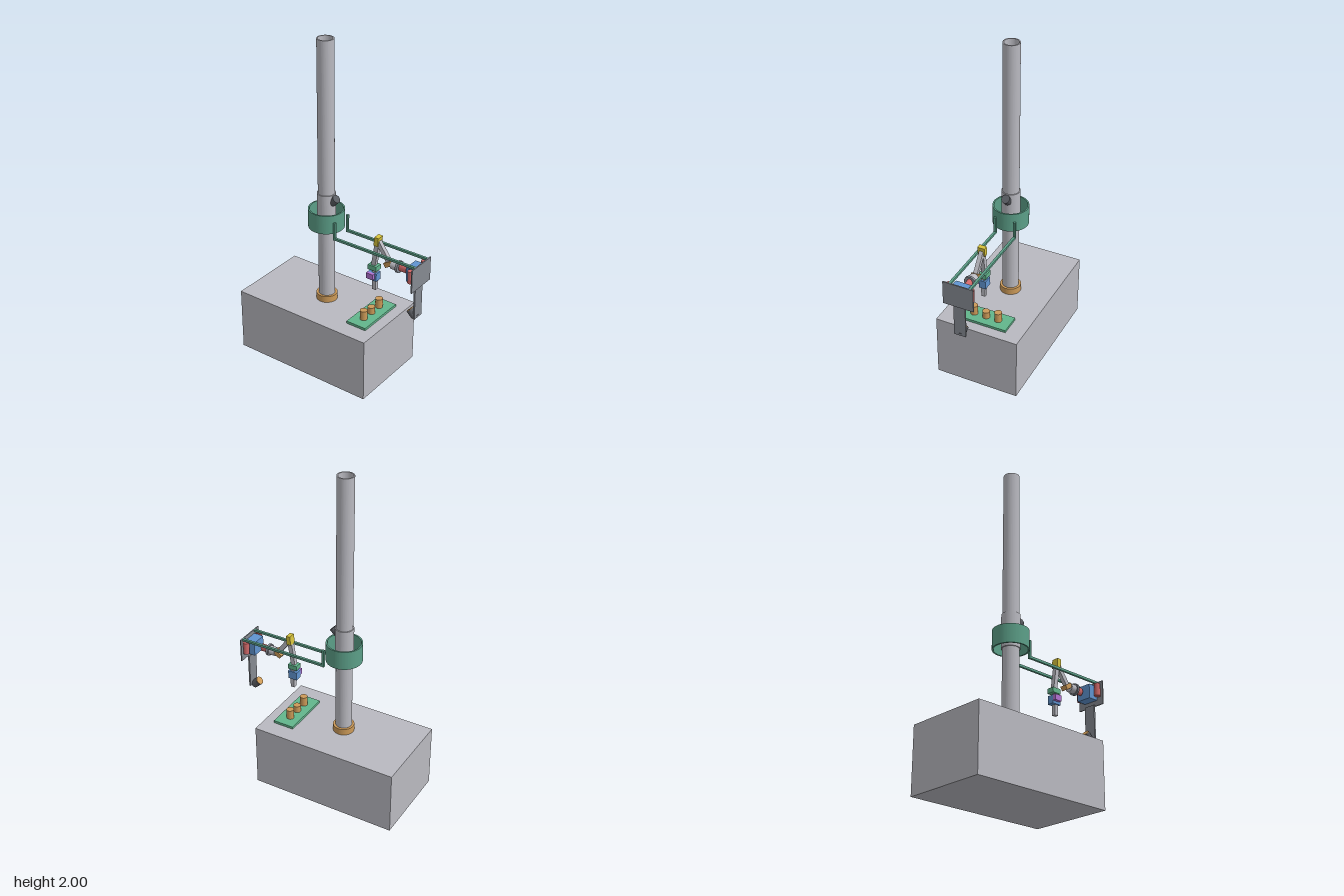
import * as THREE from 'three';

const mat = (name, color) => {
  const m = new THREE.MeshStandardMaterial({ color });
  m.name = name;
  return m;
};

export function createModel() {
  const root = new THREE.Group();
  root.name = 'columnRobot';

  const grey = mat('light grey', 0xb9b9c0);
  const steel = mat('steel grey', 0x858991);
  const charcoal = mat('charcoal', 0x5a5d63);
  const teal = mat('teal', 0x5c9f88);
  const green = mat('green', 0x62b58c);
  const tan = mat('tan', 0xcc9a58);
  const red = mat('red', 0xd06868);
  const blue = mat('blue', 0x6094d0);
  const yellow = mat('yellow', 0xd6c23c);
  const purple = mat('purple', 0xb272d2);

  const add = (name, geo, material, x, y, z, tilt = 0) => {
    const m = new THREE.Mesh(geo, material);
    m.name = name;
    m.position.set(x, y, z);
    m.rotation.z = tilt;
    root.add(m);
    return m;
  };
  // box given by its limits on each axis
  const box = (name, material, x0, x1, y0, y1, z0, z1) =>
    add(name, new THREE.BoxGeometry(x1 - x0, y1 - y0, z1 - z0), material,
      (x0 + x1) / 2, (y0 + y1) / 2, (z0 + z1) / 2);
  // cylinder centred on a point, its axis tilted in the xy plane
  const cyl = (name, material, r, h, x, y, z, tilt = 0) =>
    add(name, new THREE.CylinderGeometry(r, r, h, 32), material, x, y, z, tilt);
  // hollow upright tube with a square-edged wall
  const tube = (name, material, rOut, rIn, y0, y1, x) => {
    const s = new THREE.Shape().absarc(0, 0, rOut, 0, Math.PI * 2);
    s.holes.push(new THREE.Path().absarc(0, 0, rIn, 0, Math.PI * 2, true));
    const g = new THREE.ExtrudeGeometry(s, { depth: y1 - y0, bevelEnabled: false, curveSegments: 40 });
    g.rotateX(-Math.PI / 2);
    return add(name, g, material, x, y0, 0);
  };
  // straight link between two points in the xy plane
  const link = (name, material, ax, ay, bx, by, w, d) =>
    add(name, new THREE.BoxGeometry(w, Math.hypot(bx - ax, by - ay), d), material,
      (ax + bx) / 2, (ay + by) / 2, 0, Math.atan2(ax - bx, by - ay));

  // base block and column
  const cx = -0.1;
  box('base', grey, -0.55, 0.35, 0, 0.39, -0.257, 0.257);
  tube('column', grey, 0.048, 0.041, 0.39, 2, cx);
  tube('columnFlange', tan, 0.062, 0.048, 0.39, 0.43, cx);
  tube('slidingSleeve', grey, 0.054, 0.048, 0.88, 1.088, cx);
  tube('carrierRing', teal, 0.105, 0.096, 0.875, 0.99, cx);
  cyl('clampKnob', charcoal, 0.025, 0.045, -0.045, 1.052, 0, -0.8);

  // twin rails hung from the ring
  for (const z of [-0.07, 0.052]) {
    box('railPost', teal, -0.01, 0.004, 0.835, 0.945, z - 0.007, z + 0.007);
    box('rail', teal, -0.01, 0.54, 0.836, 0.85, z - 0.007, z + 0.007);
  }

  // end plate with motor block and dampers
  box('endPlate', steel, 0.54, 0.547, 0.705, 0.85, -0.093, 0.093);
  box('motorBlock', blue, 0.478, 0.54, 0.738, 0.825, -0.047, 0.047);
  for (const z of [-0.068, 0.068]) cyl('damper', red, 0.018, 0.075, 0.522, 0.792, z);

  // camera on its hanging strip
  box('cameraStrip', steel, 0.525, 0.535, 0.5, 0.71, -0.036, 0.036);
  cyl('cameraBody', charcoal, 0.025, 0.05, 0.502, 0.515, 0, 0.82);
  cyl('cameraLens', tan, 0.023, 0.006, 0.4835, 0.5325, 0, 0.82);

  // shoulder stack lying along x
  cyl('shoulderMotor', red, 0.024, 0.046, 0.432, 0.78, 0, Math.PI / 2).scale.z = 0.7;
  cyl('shoulderDisc', steel, 0.036, 0.014, 0.402, 0.78, 0, Math.PI / 2);
  cyl('shoulderHousing', grey, 0.027, 0.038, 0.376, 0.78, 0, Math.PI / 2);
  add('shoulderJoint', new THREE.BoxGeometry(0.05, 0.028, 0.042), tan, 0.337, 0.778, 0, 0.55);

  // upper arm, elbow and forearm
  link('upperArm', grey, 0.345, 0.775, 0.26, 0.895, 0.027, 0.025);
  add('elbow', new THREE.BoxGeometry(0.027, 0.055, 0.044), yellow, 0.258, 0.897, 0, -0.1);
  link('forearm', grey, 0.257, 0.88, 0.235, 0.735, 0.027, 0.025);

  // wrist and tool
  box('wristPlate', green, 0.206, 0.264, 0.706, 0.736, -0.023, 0.023);
  box('wristNeck', grey, 0.228, 0.254, 0.688, 0.707, -0.013, 0.013);
  box('wristBlock', blue, 0.206, 0.264, 0.64, 0.69, -0.021, 0.021);
  box('wristMotor', purple, 0.206, 0.253, 0.655, 0.69, 0.021, 0.04);
  box('toolTip', grey, 0.23, 0.254, 0.577, 0.64, -0.012, 0.012);

  // work pad with pegs
  box('workPad', green, 0.156, 0.286, 0.39, 0.405, -0.155, 0.155);
  for (const [z, h] of [[-0.077, 0.058], [0, 0.042], [0.077, 0.058]])
    cyl('peg', tan, 0.022, h, 0.22, 0.405 + h / 2, z);

  return root;
}
